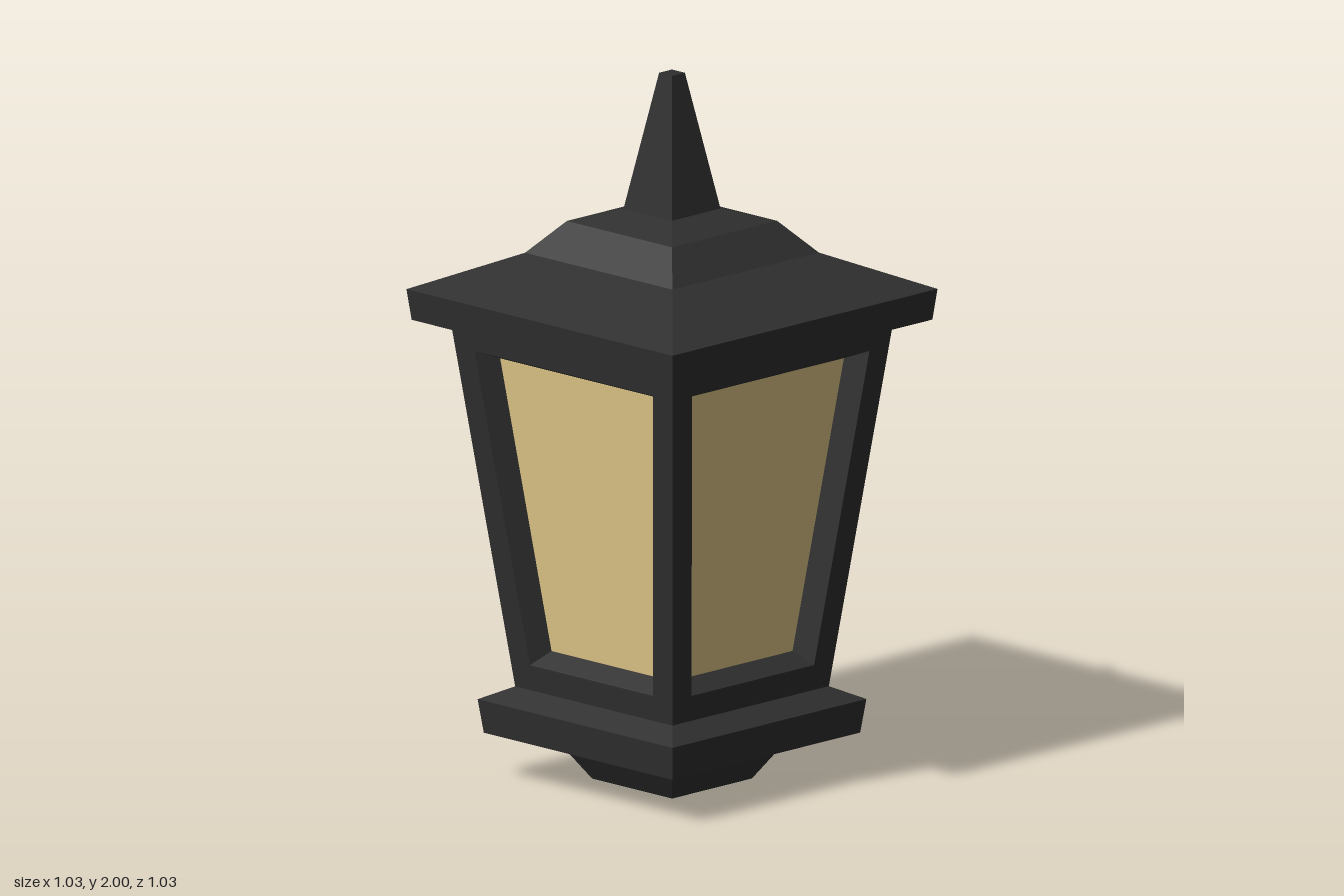
import * as THREE from 'three';

const metal = new THREE.MeshStandardMaterial({ color: 0x2f2f2f, flatShading: true });
const glass = new THREE.MeshStandardMaterial({ color: 0xe2ca8a, flatShading: true });

// Flat-shaded mesh from quads, each given counter-clockwise as seen from outside
function quadMesh(name, quads, material) {
  const pos = [];
  for (const [a, b, c, d] of quads) pos.push(...a, ...b, ...c, ...a, ...c, ...d);
  const geo = new THREE.BufferGeometry();
  geo.setAttribute('position', new THREE.Float32BufferAttribute(pos, 3));
  geo.computeVertexNormals();
  const mesh = new THREE.Mesh(geo, material);
  mesh.name = name;
  return mesh;
}

// Strip of quads joining one four-cornered loop to the next
function joinLoops(p, q) {
  return p.map((a, i) => [a, p[(i + 1) % 4], q[(i + 1) % 4], q[i]]);
}

// Closed square solid from [height, half width] levels, listed bottom to top
function squareLoft(name, levels) {
  const loops = levels.map(([y, h]) => [[-h, y, h], [h, y, h], [h, y, -h], [-h, y, -h]]);
  const quads = [[...loops[0]].reverse(), loops[loops.length - 1]];
  for (let i = 0; i + 1 < loops.length; i++) quads.push(...joinLoops(loops[i], loops[i + 1]));
  return quadMesh(name, quads, metal);
}

// Lantern body: half width grows with height
const SLOPE = 0.121;
const bodyHalf = (y) => 0.304 + (y - 0.26) * SLOPE;

// Trapezoid lying on the sloping wall, set back by depth
function wallLoop(y0, h0, y1, h1, depth = 0) {
  const z0 = bodyHalf(y0) - depth, z1 = bodyHalf(y1) - depth;
  return [[-h0, y0, z0], [h0, y0, z0], [h1, y1, z1], [-h1, y1, z1]];
}

function createSide() {
  const side = new THREE.Group();
  const outer = wallLoop(0.25, bodyHalf(0.25), 1.3, bodyHalf(1.3));
  const opening = wallLoop(0.335, 0.238, 1.225, 0.345);
  const inner = wallLoop(0.37, 0.21, 1.2, 0.309, 0.06);
  side.add(
    quadMesh('windowFrame', joinLoops(outer, opening), metal),
    quadMesh('windowReveal', joinLoops(opening, inner), metal),
    quadMesh('windowPane', [inner], glass),
  );
  return side;
}

export function createModel() {
  const lantern = new THREE.Group();
  lantern.name = 'lantern';

  // Foot and collar under the body
  lantern.add(squareLoft('foot', [[0, 0.155], [0.135, 0.24]]));
  lantern.add(squareLoft('baseCollar', [[0.13, 0.365], [0.225, 0.377], [0.262, 0.303]]));

  // Four glazed sides
  for (let i = 0; i < 4; i++) {
    const side = createSide();
    side.name = 'side' + (i + 1);
    side.rotation.y = (i * Math.PI) / 2;
    lantern.add(side);
  }

  // Stepped roof and finial
  lantern.add(squareLoft('roof', [
    [1.3, 0.505], [1.387, 0.515], [1.49, 0.285], [1.58, 0.204], [1.615, 0.094],
  ]));
  lantern.add(squareLoft('finial', [[1.615, 0.094], [2, 0.025]]));
  return lantern;
}
